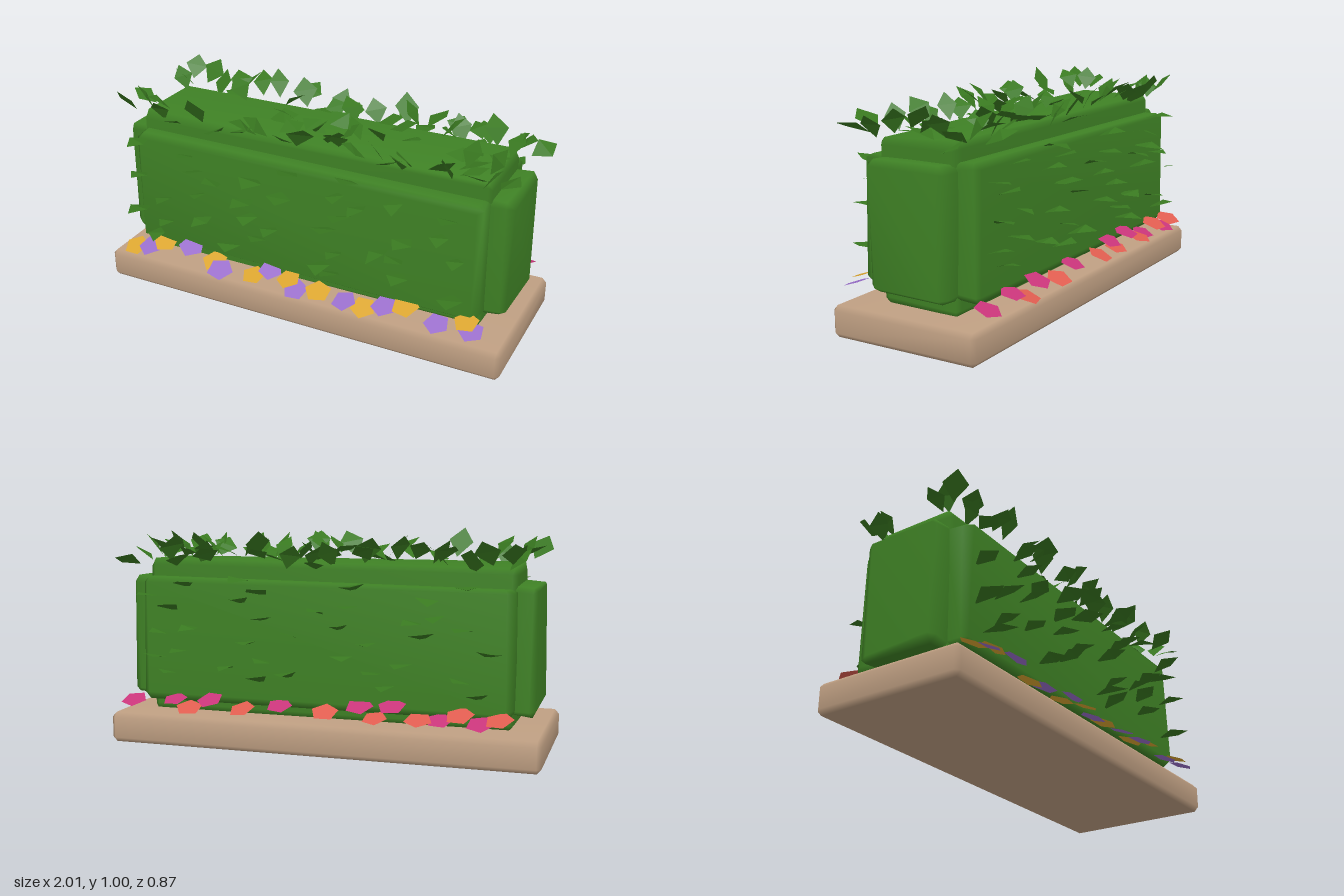
import * as THREE from 'three';
import { mergeGeometries, mergeVertices } from 'three/addons/utils/BufferGeometryUtils.js';
import { ConvexGeometry } from 'three/addons/geometries/ConvexGeometry.js';

let seed = 7;
const rand = (a = 0, b = 1) => {
  seed = (seed * 16807) % 2147483647;
  return a + (b - a) * (seed / 2147483647);
};

const paint = (name, color, side = THREE.FrontSide) => {
  const m = new THREE.MeshStandardMaterial({ color, side });
  m.name = name;
  return m;
};

// Box with chamfered edges and smooth normals; wobble makes it irregular
function chamferBox([x0, x1], [y0, y1], [z0, z1], [bx, by, bz], wobble = 0) {
  const c = [(x0 + x1) / 2, (y0 + y1) / 2, (z0 + z1) / 2];
  const h = [(x1 - x0) / 2, (y1 - y0) / 2, (z1 - z0) / 2];
  const b = [bx, by, bz];
  const points = [];
  for (let axis = 0; axis < 3; axis++)
    for (const sx of [-1, 1]) for (const sy of [-1, 1]) for (const sz of [-1, 1]) {
      const p = [sx, sy, sz].map((s, i) =>
        c[i] + s * (h[i] - (i === axis ? 0 : b[i])) + rand(-wobble, wobble));
      points.push(new THREE.Vector3(...p));
    }
  let geo = new ConvexGeometry(points);
  geo.deleteAttribute('normal');
  geo = mergeVertices(geo, 1e-4);
  geo.computeVertexNormals();
  return geo;
}

// Kite-shaped leaf growing from the origin along +z, its tip bent down
function leaf(length, width, x, y, z, yaw, pitch, roll, bend) {
  const w = width / 2, m = length * 0.55;
  const geo = new THREE.BufferGeometry();
  geo.setAttribute('position', new THREE.Float32BufferAttribute([
    0, 0, 0, w, 0, m, -w, 0, m,
    -w, 0, m, w, 0, m, 0, -bend * length, length,
  ], 3));
  geo.computeVertexNormals();
  return geo.rotateZ(roll).rotateX(-pitch).rotateY(yaw).translate(x, y, z);
}

export function createModel() {
  seed = 7;
  const group = new THREE.Group();
  const stone = paint('tan stone', 0xc0a083);
  const hedge = paint('hedge green', 0x3f8225);
  const leafGreen = paint('leaf green', 0x397920, THREE.DoubleSide);
  const purple = paint('purple petal', 0x9a6fcc, THREE.DoubleSide);
  const yellow = paint('yellow petal', 0xdba52f, THREE.DoubleSide);
  const magenta = paint('magenta petal', 0xc9357a, THREE.DoubleSide);
  const coral = paint('coral petal', 0xe05d50, THREE.DoubleSide);

  const add = (name, geo, material) => {
    const mesh = new THREE.Mesh(geo, material);
    mesh.name = name;
    group.add(mesh);
  };

  // Plinth
  add('plinth', chamferBox([-1, 1], [0, 0.14], [-0.36, 0.355], [0.02, 0.022, 0.02]), stone);

  // Hedge body: a core with bulging panels on all four sides
  add('hedgeCore', chamferBox([-0.86, 0.86], [0.13, 0.85], [-0.195, 0.195], [0.02, 0.03, 0.025], 0.008), hedge);
  add('frontPanel', chamferBox([-0.86, 0.86], [0.21, 0.77], [0.12, 0.28], [0.025, 0.025, 0.03], 0.01), hedge);
  add('backPanel', chamferBox([-0.86, 0.86], [0.21, 0.77], [-0.295, -0.12], [0.025, 0.025, 0.03], 0.01), hedge);
  add('leftPanel', chamferBox([0.78, 0.955], [0.21, 0.77], [-0.19, 0.19], [0.025, 0.025, 0.025], 0.01), hedge);
  add('rightPanel', chamferBox([-0.955, -0.78], [0.21, 0.77], [-0.19, 0.19], [0.025, 0.025, 0.025], 0.01), hedge);

  // Leaves sticking out of the front and back
  for (const [name, s] of [['frontLeaves', 1], ['backLeaves', -1]]) {
    const leaves = [];
    for (let i = 0; i < 36; i++) {
      const x = -0.83 + 1.66 * ((i * 0.618 + rand(0, 0.12)) % 1);
      const y = 0.28 + 0.5 * ((i + rand(0, 1)) / 36);
      leaves.push(leaf(rand(0.12, 0.16), rand(0.08, 0.12), x, y, s * 0.275,
        (s > 0 ? 0 : Math.PI) + rand(-0.35, 0.35), rand(0.1, 0.5), rand(-0.2, 0.2), rand(0.05, 0.25)));
    }
    add(name, mergeGeometries(leaves), leafGreen);
  }

  // Leafy crown: a sparse row of upright leaves along each upper edge
  for (const [name, s] of [['frontCrown', 1], ['backCrown', -1]]) {
    const leaves = [];
    for (let i = 0; i < 21; i++) {
      const x = -0.9 + 1.82 * (i + rand(0, 1)) / 21;
      leaves.push(leaf(rand(0.12, 0.16), rand(0.09, 0.13), x, rand(0.82, 0.88), s * rand(0.16, 0.23),
        (s > 0 ? 0 : Math.PI) + rand(-0.9, 0.9), rand(0.4, 1.1), rand(-0.5, 0.5), rand(0, 0.2)));
    }
    add(name, mergeGeometries(leaves), leafGreen);
  }

  // Scattered leaves on the top and at its ends
  const top = [];
  for (let i = 0; i < 28; i++) {
    const x = i < 23 ? rand(-0.1, 0.88) : rand(-0.6, -0.1);
    top.push(leaf(rand(0.11, 0.15), rand(0.08, 0.12), x, rand(0.84, 0.88), rand(-0.2, 0.2),
      rand(0, 6.28), rand(0.2, 1.0), rand(-0.4, 0.4), rand(0, 0.2)));
  }
  for (const s of [-1, 1])
    for (let i = 0; i < 4; i++)
      top.push(leaf(0.13, 0.1, s * 0.83, rand(0.81, 0.88), rand(0.1, 0.24) * (i % 2 ? 1 : -1),
        s * 1.57 + rand(-0.6, 0.6), rand(0.5, 1.2), rand(-0.4, 0.4), 0.1));
  add('topLeaves', mergeGeometries(top), leafGreen);

  // Five-sided flowers in a row along the foot of each long side: [x, y]
  const yellowRow = [[-0.87, 0.185], [-0.71, 0.235], [-0.44, 0.195], [-0.22, 0.185], [-0.03, 0.22],
    [0.12, 0.195], [0.35, 0.18], [0.545, 0.235], [0.83, 0.24]];
  const purpleRow = [[-0.78, 0.21], [-0.56, 0.25], [-0.39, 0.18], [-0.13, 0.235], [0.01, 0.18],
    [0.26, 0.195], [0.45, 0.215], [0.7, 0.2], [0.86, 0.21]];
  const magentaRow = [[0.88, 0.21], [0.68, 0.22], [0.5, 0.23], [0.17, 0.22], [-0.2, 0.24],
    [-0.35, 0.25], [-0.56, 0.2], [-0.74, 0.2]];
  const coralRow = [[0.6, 0.19], [0.34, 0.2], [-0.05, 0.21], [-0.27, 0.19], [-0.47, 0.2],
    [-0.65, 0.23], [-0.82, 0.22]];
  const plant = (name, row, s, z, material) => {
    const flowers = row.map(([x, y]) =>
      new THREE.CircleGeometry(rand(0.058, 0.066), 5)
        .rotateZ(rand(0, 6.28)).rotateX(-Math.PI / 2 + s * rand(0.3, 0.45)).rotateY(rand(-0.35, 0.35))
        .translate(x, y, s * (z + rand(-0.015, 0.02))));
    add(name, mergeGeometries(flowers), material);
  };
  plant('yellowFlowers', yellowRow, 1, 0.305, yellow);
  plant('purpleFlowers', purpleRow, 1, 0.315, purple);
  plant('coralFlowers', coralRow, -1, 0.34, coral);
  plant('magentaFlowers', magentaRow, -1, 0.335, magenta);

  return group;
}
